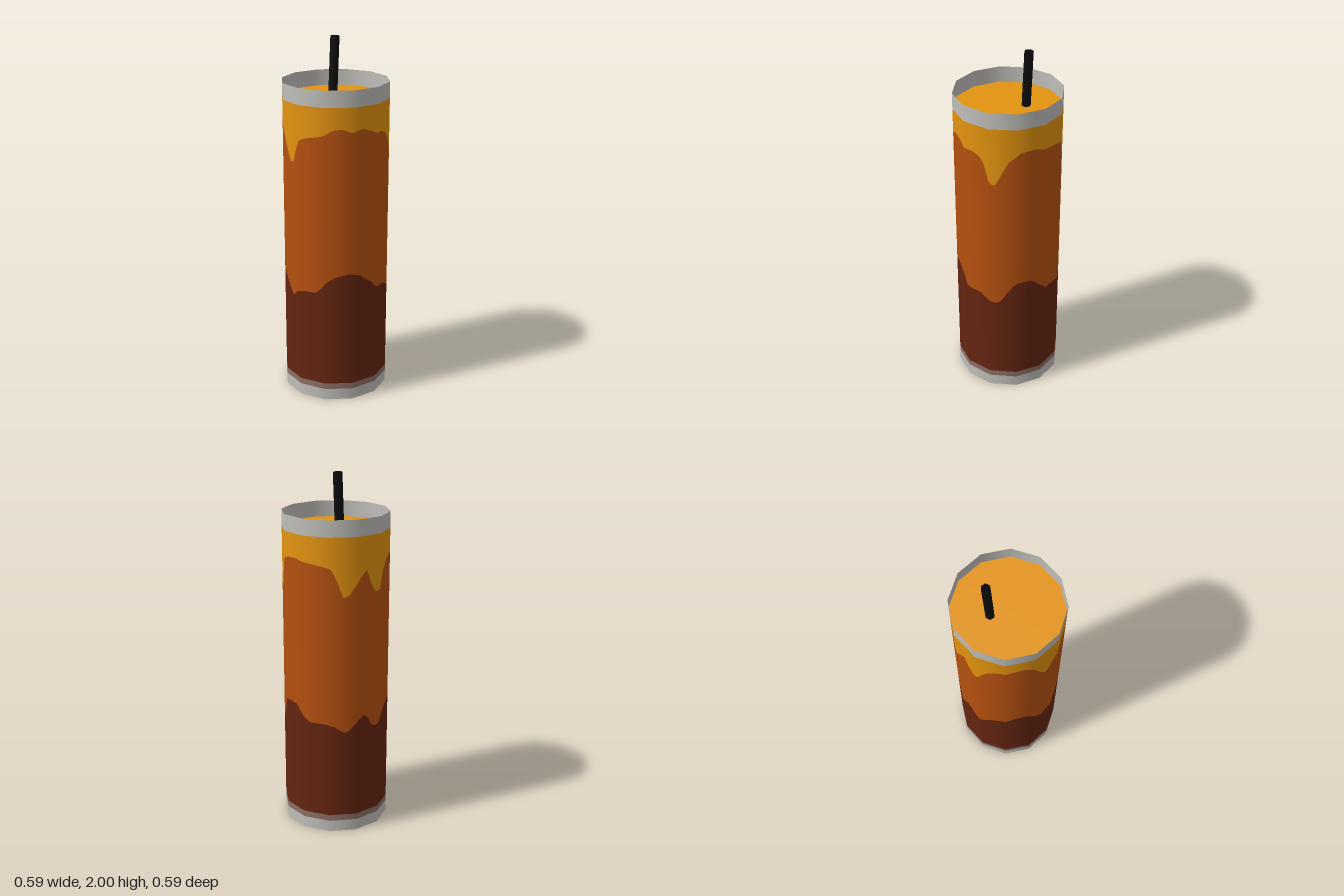
import * as THREE from 'three';

const RADIUS = 0.296, SIDES = 12, STEPS = 10;
const TURN = THREE.MathUtils.degToRad(-5.8);
const TUBE_TOP = 1.78, WAX_TOP = 1.69;

function material(name, color) {
  const m = new THREE.MeshStandardMaterial({ color, side: THREE.DoubleSide });
  m.name = name;
  return m;
}

// Wavy wax edges: [degrees round from the front towards +x, height]
const upperDrips = [
  [0, 1.515], [20, 1.535], [33, 1.57], [42, 1.575], [52, 1.555], [65, 1.57], [75, 1.555], [83, 1.535],
  [94, 1.535], [104, 1.515], [110, 1.475], [115, 1.375], [121, 1.36], [127, 1.42], [135, 1.5],
  [147, 1.555], [163, 1.56], [181, 1.545], [195, 1.535], [206, 1.525], [213, 1.45], [219, 1.365],
  [226, 1.38], [237, 1.465], [246, 1.508], [252, 1.43], [259, 1.375], [265, 1.39], [272, 1.48],
  [282, 1.53], [292, 1.56], [315, 1.575], [324, 1.55], [331, 1.45], [338, 1.37], [344, 1.37],
  [349, 1.45], [354, 1.5],
];
const lowerDrips = [
  [0, 0.647], [12, 0.647], [18, 0.67], [26, 0.72], [35, 0.748], [51, 0.766], [63, 0.748], [70, 0.72],
  [78, 0.695], [83, 0.66], [90, 0.647], [101, 0.647], [106, 0.637], [115, 0.61], [122, 0.6],
  [127, 0.615], [136, 0.69], [144, 0.74], [153, 0.74], [163, 0.735], [173, 0.688], [182, 0.65],
  [201, 0.65], [210, 0.636], [218, 0.605], [224, 0.6], [237, 0.67], [244, 0.69], [249, 0.667],
  [255, 0.618], [261, 0.605], [269, 0.636], [279, 0.68], [290, 0.715], [302, 0.738], [317, 0.753],
  [324, 0.73], [331, 0.66], [338, 0.605], [342, 0.6], [350, 0.637],
];

// Height of an edge (a number or a drip list) at an angle in degrees
function edgeHeight(edge, degrees) {
  if (typeof edge === 'number') return edge;
  const d = ((degrees % 360) + 360) % 360;
  const ring = [...edge, [edge[0][0] + 360, edge[0][1]]];
  const i = ring.findIndex((p) => p[0] > d);
  const [a, b] = [ring[i - 1], ring[i]];
  return THREE.MathUtils.mapLinear(d, a[0], b[0], a[1], b[1]);
}

// Band of the twelve-sided tube between two edges, smooth shaded
function bandGeometry(lower, upper) {
  const pos = [], normals = [], index = [];
  const columns = SIDES * STEPS;
  const corner = (k) => {
    const a = TURN + (k / SIDES) * Math.PI * 2;
    return new THREE.Vector3(Math.sin(a), 0, Math.cos(a)).multiplyScalar(RADIUS);
  };
  for (let i = 0; i <= columns; i++) {
    const side = Math.floor(i / STEPS);
    const p = corner(side).lerp(corner(side + 1), (i % STEPS) / STEPS);
    const n = p.clone().normalize();
    const degrees = THREE.MathUtils.radToDeg(Math.atan2(p.x, p.z));
    for (const edge of [lower, upper]) {
      pos.push(p.x, edgeHeight(edge, degrees), p.z);
      normals.push(n.x, 0, n.z);
    }
    if (i < columns) {
      const a = i * 2;
      index.push(a, a + 2, a + 3, a, a + 3, a + 1);
    }
  }
  const g = new THREE.BufferGeometry();
  g.setAttribute('position', new THREE.Float32BufferAttribute(pos, 3));
  g.setAttribute('normal', new THREE.Float32BufferAttribute(normals, 3));
  g.setIndex(index);
  return g;
}

export function createModel() {
  const model = new THREE.Group();
  model.name = 'candle';

  const grey = material('light grey', 0xbfbeb9);
  const dusty = material('dusty brown', 0x8c6f66);
  const brown = material('dark brown', 0x642510);
  const orange = material('burnt orange', 0xb5500f);
  const amber = material('amber', 0xe3930f);
  const black = material('black', 0x0c0c0c);

  const add = (name, geometry, mat) => {
    const mesh = new THREE.Mesh(geometry, mat);
    mesh.name = name;
    model.add(mesh);
    return mesh;
  };

  // Tube wall, bottom to top
  add('bottomRim', bandGeometry(0, 0.065), grey);
  add('bottomStripe', bandGeometry(0.065, 0.1), dusty);
  add('lowerWax', bandGeometry(0.1, lowerDrips), brown);
  add('middleWax', bandGeometry(lowerDrips, upperDrips), orange);
  add('upperWax', bandGeometry(upperDrips, WAX_TOP), amber);
  add('topRim', bandGeometry(WAX_TOP, TUBE_TOP), grey);

  // Wax surface, sunk below the rim
  const surface = new THREE.CircleGeometry(RADIUS, SIDES).rotateX(-Math.PI / 2).rotateY(TURN);
  add('waxSurface', surface, amber).position.y = WAX_TOP;

  // Hollow leaning wick running the length of the candle
  const foot = new THREE.Vector3(-0.073, 0.055, 0.027);
  const tip = new THREE.Vector3(-0.063, 1.9985, -0.085);
  const axis = tip.clone().sub(foot);
  const wick = add('wick', new THREE.CylinderGeometry(0.025, 0.025, axis.length(), 6, 1, true), black);
  wick.position.copy(foot).add(tip).multiplyScalar(0.5);
  wick.quaternion.setFromUnitVectors(new THREE.Vector3(0, 1, 0), axis.normalize());

  return model;
}
